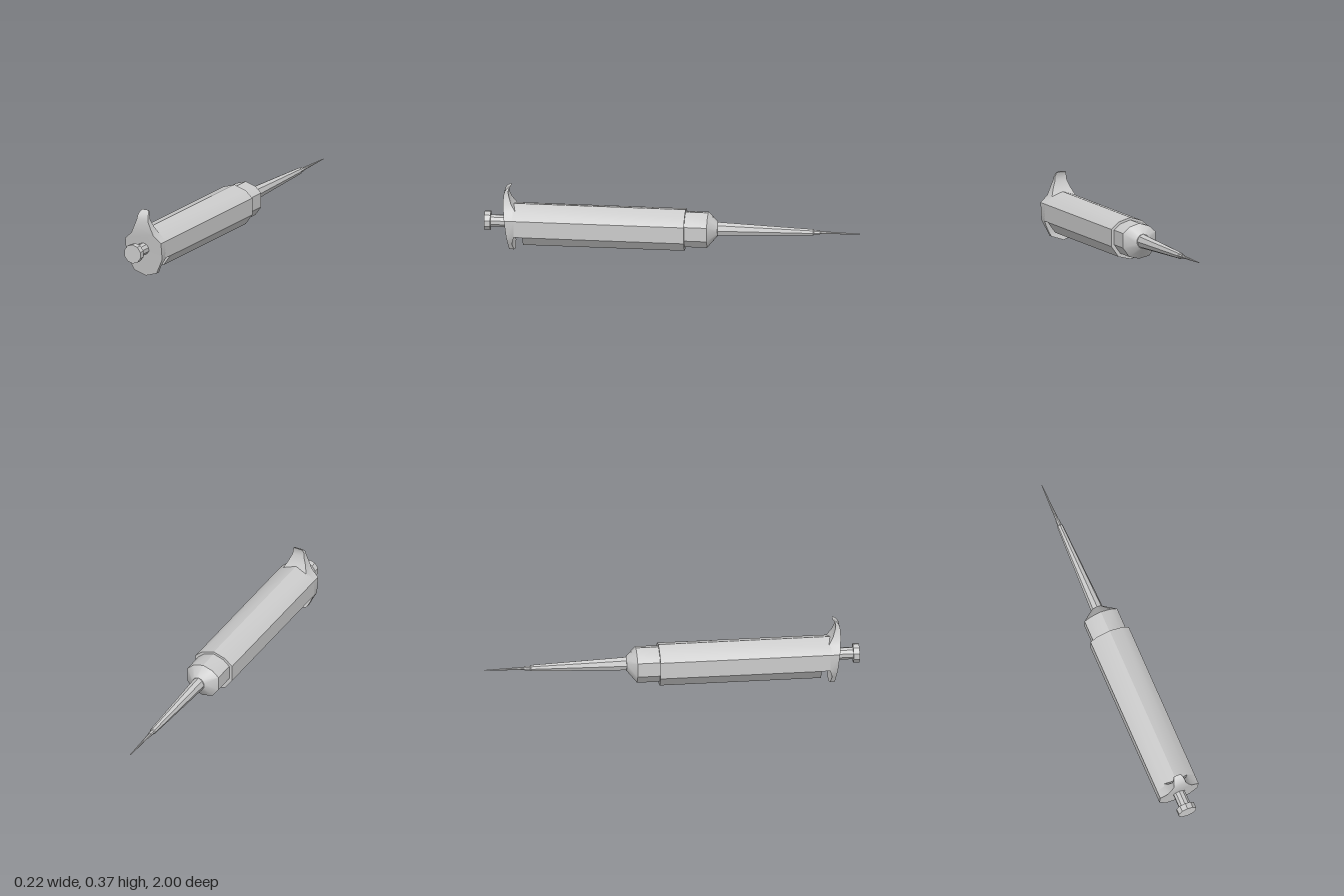
import * as THREE from 'three';
import { toCreasedNormals } from 'three/addons/utils/BufferGeometryUtils.js';

const material = new THREE.MeshStandardMaterial({ color: 0xcccccc });
const AXIS_Y = 0.155;

// Closed loft through rings of [x, y, z]; rings run counter-clockwise seen from the first end
function loft(name, rings) {
  const pos = [];
  const n = rings[0].length;
  const centre = (ring) => [0, 1, 2].map((i) => ring.reduce((s, p) => s + p[i], 0) / n);
  const first = rings[0], last = rings[rings.length - 1];
  const c0 = centre(first), c1 = centre(last);
  for (let k = 0; k < n; k++) {
    const m = (k + 1) % n;
    pos.push(...c0, ...first[k], ...first[m]);
    pos.push(...c1, ...last[m], ...last[k]);
    for (let i = 0; i < rings.length - 1; i++) {
      const a = rings[i][k], b = rings[i][m], c = rings[i + 1][k], d = rings[i + 1][m];
      pos.push(...a, ...c, ...b, ...b, ...c, ...d);
    }
  }
  const geometry = new THREE.BufferGeometry();
  geometry.setAttribute('position', new THREE.Float32BufferAttribute(pos, 3));
  const mesh = new THREE.Mesh(toCreasedNormals(geometry, 0.55), material);
  mesh.name = name;
  return mesh;
}

// Regular polygon ring with a vertex at the top
function ring(z, rx, ry = rx, sides = 10) {
  return Array.from({ length: sides }, (_, k) => {
    const a = Math.PI / 2 + (k / sides) * Math.PI * 2;
    return [rx * Math.cos(a), AXIS_Y + ry * Math.sin(a), z];
  });
}

// Ten-sided handle outline, counter-clockwise from the top
const half = [[0, 0.258], [-0.068, 0.237], [-0.11, 0.2], [-0.11, 0.108], [-0.068, 0.05], [0, 0.034]];
const outline = [...half, ...half.slice(1, 5).reverse().map(([x, y]) => [-x, y])];
const atZ = (points, z) => points.map(([x, y]) => [x, y, z]);
const scaled = (s) => outline.map(([x, y]) => [x * s, 0.15 + (y - 0.147) * s]);

export function createModel() {
  const group = new THREE.Group();
  group.name = 'pipette';

  // Handle: the lower half stops short of the finger flange
  const upper = outline.filter(([, y]) => y > 0.1);
  const lower = outline.filter(([, y]) => y < 0.11);
  group.add(loft('handleUpper', [atZ(upper, 0.845), atZ(upper, -0.07)]));
  group.add(loft('handleLower', [atZ(lower, 0.79), atZ(lower, -0.07)]));

  // Collar with a tapered nose
  group.add(loft('collar', [
    atZ(scaled(0.85), -0.06),
    atZ(scaled(0.85), -0.19),
    ring(-0.242, 0.036, 0.04),
  ]));

  // Tapered shaft and fine tip
  group.add(loft('shaft', [
    ring(-0.235, 0.034, 0.039, 8),
    ring(-0.75, 0.016, 0.018, 8),
    ring(-0.755, 0.012, 0.013, 8),
    ring(-0.785, 0.011, 0.012, 8),
  ]));
  group.add(loft('tip', [ring(-0.78, 0.009, 0.009, 8), ring(-1, 0.002, 0.002, 8)]));

  // Plunger
  group.add(loft('plungerButton', [ring(1, 0.052), ring(0.967, 0.052)]));
  group.add(loft('plungerRod', [ring(0.97, 0.033), ring(0.86, 0.033)]));

  // Finger flange and hook: height, half width, front z, back z
  const rows = [
    [0.0, 0.001, 0.86, 0.835],
    [0.022, 0.068, 0.863, 0.838],
    [0.06, 0.0865, 0.869, 0.848],
    [0.108, 0.11, 0.876, 0.835],
    [0.2, 0.11, 0.888, 0.835],
    [0.237, 0.068, 0.895, 0.832],
    [0.275, 0.051, 0.898, 0.856],
    [0.315, 0.034, 0.897, 0.87],
    [0.338, 0.032, 0.891, 0.873],
    [0.356, 0.027, 0.877, 0.868],
    [0.365, 0.02, 0.863, 0.858],
  ];
  group.add(loft('fingerFlange', rows.map(([y, w, f, b]) =>
    [[-w, y, f], [-w, y, b], [w, y, b], [w, y, f]])));

  return group;
}
